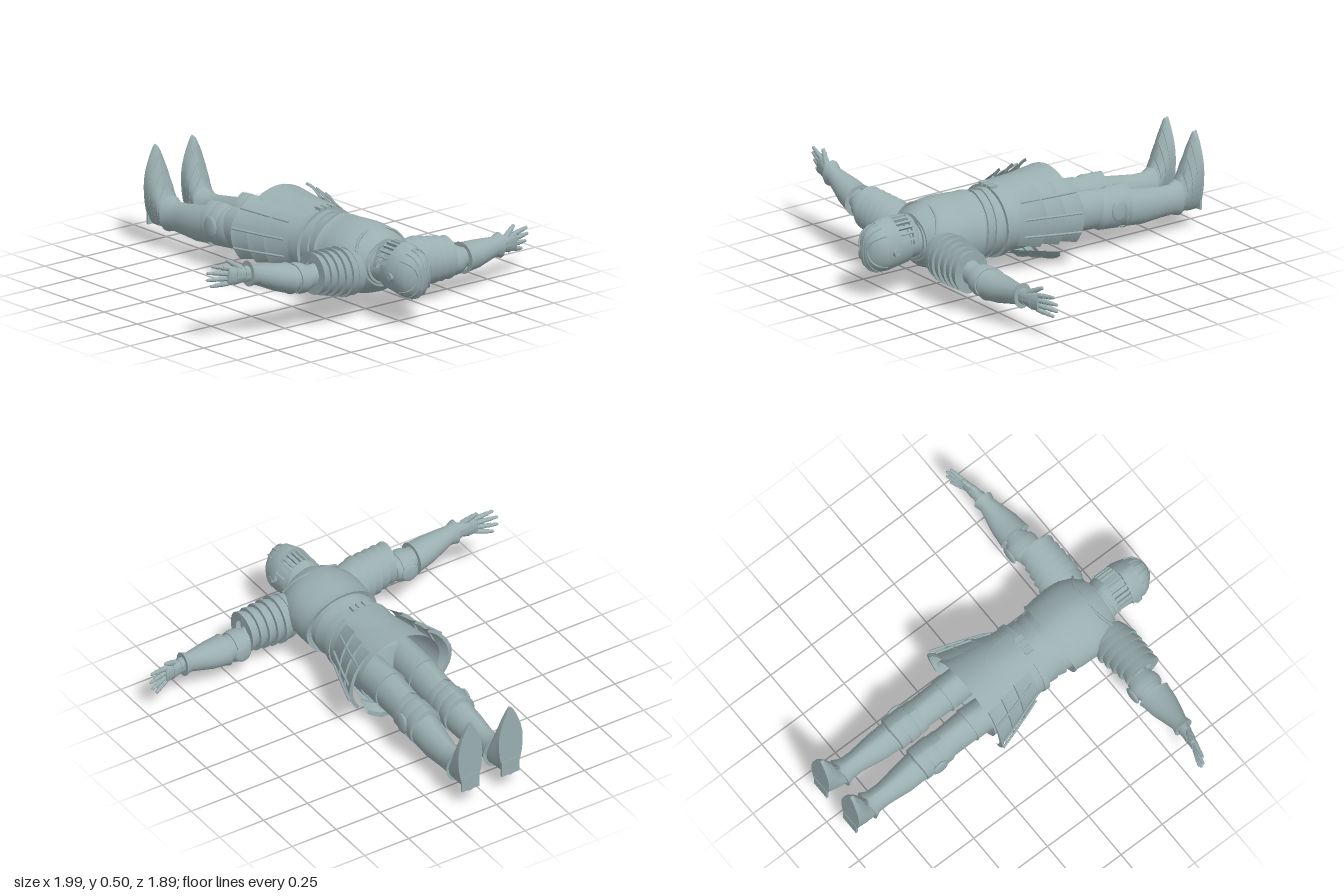
import * as THREE from 'three';
import { toCreasedNormals } from 'three/addons/utils/BufferGeometryUtils.js';

const steel = new THREE.MeshStandardMaterial({ color: 0x9aaeb0, side: THREE.DoubleSide });
steel.name = 'steel';

const rad = THREE.MathUtils.degToRad;

function add(parent, name, geometry) {
  const mesh = new THREE.Mesh(geometry, steel);
  mesh.name = name;
  parent.add(mesh);
  return mesh;
}

// Loft through elliptical rings [t, centreU, centreY, radiusU, radiusY, chevron, halfSpan].
// axis 'z': U is x. axis 'x': U is z. mid/half pick an arc of the ring, in degrees.
function loft(parent, name, rings, { axis = 'z', mid = 90, half = 180, ridge = 0, pinch = 0, seg = 32, crease = 0.6 } = {}) {
  if (rings[0][0] > rings[rings.length - 1][0]) rings = [...rings].reverse();
  const pos = [], index = [];
  for (const [t, cu, cy, ru, ry, vee = 0, span = half] of rings) {
    for (let j = 0; j <= seg; j++) {
      const d = (j / seg * 2 - 1) * span, a = rad(mid + d);
      const top = Math.max(0, Math.sin(a));
      const w = Math.max(0, 1 - Math.abs(d) / Math.min(span, 90));
      const u = ru * Math.cos(a) * (1 - pinch * top * top);
      const y = cy + ry * Math.sin(a) * (1 + ridge * Math.pow(top, 24));
      const tt = t + vee * w;
      pos.push(...(axis === 'z' ? [cu + u, y, tt] : [tt, y, cu - u]));
    }
  }
  const n = seg + 1;
  for (let i = 0; i < rings.length - 1; i++) {
    for (let j = 0; j < seg; j++) {
      const a = i * n + j, b = a + n;
      index.push(a, a + 1, b, a + 1, b + 1, b);
    }
  }
  const g = new THREE.BufferGeometry();
  g.setAttribute('position', new THREE.Float32BufferAttribute(pos, 3));
  g.setIndex(index);
  return add(parent, name, toCreasedNormals(g, crease));
}

function tube(parent, name, points, r) {
  const curve = new THREE.CatmullRomCurve3(points.map(p => new THREE.Vector3(...p)));
  return add(parent, name, new THREE.TubeGeometry(curve, 24, r, 6));
}

function buildTorso(g) {
  // waist lames and breastplate with pointed lower edges
  loft(g, 'waistPlates', [
    [0.16, 0, 0.255, 0.17, 0.165], [0.21, 0, 0.255, 0.17, 0.165], [0.27, 0, 0.25, 0.172, 0.17, -0.03],
    [0.27, 0, 0.25, 0.163, 0.162, -0.03], [0.32, 0, 0.25, 0.175, 0.172, -0.03],
    [0.32, 0, 0.25, 0.165, 0.162, -0.03], [0.40, 0, 0.25, 0.175, 0.17]], { ridge: 0.03 });
  loft(g, 'breastplate', [
    [0.36, 0, 0.25, 0.17, 0.16, -0.04], [0.355, 0, 0.25, 0.2, 0.175, -0.04], [0.37, 0, 0.25, 0.196, 0.173, -0.04],
    [0.40, 0, 0.252, 0.2, 0.175, -0.02], [0.48, 0, 0.258, 0.205, 0.175], [0.55, 0, 0.26, 0.2, 0.166],
    [0.61, 0, 0.26, 0.175, 0.145], [0.65, 0, 0.265, 0.13, 0.115], [0.66, 0, 0.265, 0, 0]], { ridge: 0.05 });
  // raised neck border on the chest
  tube(g, 'chestBorder', [[-0.16, 0.32, 0.62], [-0.11, 0.39, 0.585], [0, 0.42, 0.565], [0.11, 0.39, 0.585], [0.16, 0.32, 0.62]], 0.007);
  loft(g, 'gorget', [
    [0.60, 0, 0.26, 0.15, 0.135], [0.63, 0, 0.265, 0.14, 0.12, -0.02], [0.63, 0, 0.265, 0.128, 0.112, -0.02],
    [0.66, 0, 0.265, 0.118, 0.1, -0.01], [0.66, 0, 0.265, 0.105, 0.09, -0.01],
    [0.71, 0, 0.265, 0.09, 0.09], [0.71, 0, 0.265, 0, 0]]);
  // belt and buckle
  loft(g, 'belt', [
    [0.18, 0, 0.255, 0.165, 0.16], [0.18, 0, 0.255, 0.188, 0.18], [0.21, 0, 0.255, 0.188, 0.18], [0.21, 0, 0.255, 0.165, 0.16]]);
  for (const x of [-0.035, 0, 0.035])
    add(g, 'buckle', new THREE.BoxGeometry(0.026, 0.014, 0.045)).position.set(x, 0.436, 0.195);
}

function buildSkirt(g) {
  loft(g, 'skirt', [
    [0.19, 0, 0.255, 0.18, 0.172], [0.1, 0, 0.26, 0.19, 0.175], [0.0, 0, 0.268, 0.205, 0.178],
    [-0.155, 0, 0.28, 0.225, 0.18]], { half: 140, ridge: 0.02 });
  // arched plate below the buckle
  loft(g, 'frontTab', [0, 1, 2, 3, 4, 5, 6].map(i => {
    const k = i / 6;
    return [0.18 - k * 0.2, 0, 0.259 + k * 0.006, 0.2, 0.179 + k * 0.006, 0, 30 * Math.sqrt(1 - k * k) + 0.01];
  }), { seg: 14, ridge: 0.02 });
  // side tassets: three overlapping lames and a raised rib on each
  for (const s of [1, -1]) {
    const mid = s > 0 ? 10 : 170;
    for (let i = 0; i < 3; i++) {
      const z = 0.14 - i * 0.09, r = 0.195 + i * 0.028;
      loft(g, 'sideTasset', [
        [z, 0, 0.26, r - 0.008, 0.19, 0, 42], [z - 0.09, 0, 0.262, r + 0.026, 0.215, -0.015, 44],
        [z - 0.11, 0, 0.264, r + 0.04, 0.222, -0.015, 44], [z - 0.11, 0, 0.264, r + 0.02, 0.21, -0.015, 44]], { mid, seg: 14 });
    }
    for (const a of [-26, 0, 26]) {
      const c = Math.cos(rad(10 + a)) * s, q = Math.sin(rad(10 + a));
      tube(g, 'tassetRib', [[0.2 * c, 0.26 + 0.195 * q, 0.12], [0.255 * c, 0.262 + 0.21 * q, -0.03], [0.295 * c, 0.264 + 0.222 * q, -0.15]], 0.006);
    }
    // rear tassets
    for (let i = 0; i < 3; i++) {
      const z = 0.14 - i * 0.075, r = 0.178 + i * 0.02;
      loft(g, 'rearTasset', [
        [z, 0, 0.26, r + 0.01, r - 0.004, 0, 19], [z - 0.085, 0, 0.26, r + 0.03, r + 0.022, -0.015, 20],
        [z - 0.105, 0, 0.26, r + 0.04, r + 0.042, -0.015, 17], [z - 0.105, 0, 0.26, r + 0.03, r + 0.015, -0.015, 17]],
        { mid: 270 + s * 21, seg: 12 });
    }
  }
  loft(g, 'hips', [[0.18, 0, 0.25, 0.16, 0.15], [0.05, 0, 0.24, 0.175, 0.13], [-0.04, 0, 0.23, 0.16, 0.11], [-0.08, 0, 0.23, 0, 0]]);
}

function buildHead(g) {
  loft(g, 'helmet', [
    [0.69, 0, 0.25, 0.08, 0.09], [0.70, 0, 0.25, 0.088, 0.095], [0.76, 0, 0.253, 0.092, 0.108],
    [0.82, 0, 0.257, 0.1, 0.12], [0.86, 0, 0.257, 0.1, 0.118], [0.89, 0, 0.26, 0.085, 0.108],
    [0.915, 0, 0.262, 0.06, 0.088], [0.93, 0, 0.265, 0.032, 0.06], [0.937, 0, 0.268, 0, 0]], { crease: 0.9 });
  // visor: jaw plate, brow brim and upright bars
  loft(g, 'jawPlate', [
    [0.665, 0, 0.26, 0.09, 0.11, -0.01], [0.68, 0, 0.26, 0.104, 0.122, -0.01], [0.705, 0, 0.26, 0.106, 0.128, -0.01],
    [0.705, 0, 0.26, 0.09, 0.11, -0.01]], { half: 84, ridge: 0.05 });
  loft(g, 'browBrim', [
    [0.775, 0, 0.26, 0.092, 0.11, 0.012], [0.775, 0, 0.26, 0.11, 0.137, 0.012], [0.80, 0, 0.26, 0.112, 0.137, 0.015],
    [0.84, 0, 0.258, 0.103, 0.123, 0.025]], { half: 88, ridge: 0.05 });
  for (let i = -5; i <= 5; i++) {
    const a = rad(90 + i * 14);
    const bar = add(g, 'visorBar', new THREE.BoxGeometry(0.012, 0.016, 0.09));
    bar.position.set(0.102 * Math.cos(a), 0.26 + 0.126 * Math.sin(a), 0.74);
    bar.rotation.z = a - Math.PI / 2;
  }
  for (const s of [1, -1]) {
    const pivot = add(g, 'visorPivot', new THREE.CylinderGeometry(0.018, 0.022, 0.016, 16));
    pivot.rotation.z = -s * Math.PI / 2;
    pivot.position.set(s * 0.105, 0.255, 0.81);
  }
  // crown ridges running from brow to nape
  for (const k of [-0.75, -0.4, 0, 0.4, 0.75]) {
    const c = Math.sqrt(1 - k * k);
    tube(g, 'crownRidge', [[k * 0.1, 0.257 + 0.12 * c, 0.845], [k * 0.085, 0.26 + 0.104 * c, 0.893], [k * 0.06, 0.262 + 0.07 * c, 0.92],
      [k * 0.04, 0.264, 0.931], [k * 0.06, 0.262 - 0.07 * c, 0.92], [k * 0.085, 0.26 - 0.104 * c, 0.893], [k * 0.1, 0.257 - 0.12 * c, 0.845]], k ? 0.005 : 0.008);
  }
}

function buildLeg(g) {
  loft(g, 'thigh', [
    [0.0, 0.1, 0.235, 0.08, 0.1], [-0.2, 0.095, 0.232, 0.083, 0.105], [-0.22, 0.095, 0.23, 0.086, 0.108, -0.015],
    [-0.22, 0.095, 0.23, 0.079, 0.1, -0.015], [-0.38, 0.097, 0.218, 0.075, 0.095]], { ridge: 0.05 });
  // knee lames
  for (const [z, r] of [[-0.37, 0.083], [-0.425, 0.088], [-0.48, 0.086]])
    loft(g, 'kneePlate', [
      [z + 0.02, 0.097, 0.21, r - 0.012, r], [z, 0.097, 0.21, r, r + 0.014, -0.015],
      [z - 0.045, 0.097, 0.205, r, r + 0.014, -0.02], [z - 0.05, 0.097, 0.205, r - 0.02, r - 0.008, -0.02]], { ridge: 0.08 });
  const wing = add(g, 'kneeWing', new THREE.SphereGeometry(1, 16, 10));
  wing.scale.set(0.014, 0.055, 0.045);
  wing.position.set(0.18, 0.215, -0.45);
  loft(g, 'greave', [
    [-0.50, 0.097, 0.195, 0.083, 0.1], [-0.515, 0.097, 0.195, 0.083, 0.1, -0.015], [-0.515, 0.097, 0.192, 0.076, 0.093, -0.015],
    [-0.62, 0.102, 0.178, 0.07, 0.088], [-0.74, 0.105, 0.172, 0.054, 0.075], [-0.8, 0.105, 0.172, 0.056, 0.073],
    [-0.835, 0.105, 0.176, 0.074, 0.088, -0.015], [-0.835, 0.105, 0.176, 0.05, 0.06, -0.015]], { ridge: 0.06 });
  // pointed shoe with stepped plates
  loft(g, 'shoe', [
    [-0.78, 0.105, 0.175, 0.05, 0.06], [-0.835, 0.107, 0.18, 0.058, 0.078], [-0.86, 0.109, 0.206, 0.062, 0.1],
    [-0.86, 0.109, 0.21, 0.064, 0.106], [-0.885, 0.111, 0.24, 0.065, 0.138], [-0.885, 0.111, 0.244, 0.067, 0.143],
    [-0.91, 0.113, 0.272, 0.067, 0.172], [-0.91, 0.113, 0.276, 0.068, 0.176], [-0.93, 0.115, 0.298, 0.068, 0.196],
    [-0.948, 0.115, 0.3, 0.068, 0.2], [-0.948, 0.115, 0.27, 0, 0]], { pinch: 0.55 });
  add(g, 'heel', new THREE.BoxGeometry(0.1, 0.085, 0.012)).position.set(0.113, 0.15, -0.944);
}

function buildArm(g, side) {
  // the right arm is raised a little
  const lift = x => (side < 0 ? 0.035 + 0.22 * (x - 0.2) : 0);
  const arm = (name, rings, opts) => loft(g, name, rings.map(([x, z, y, rz, ry, v]) => [x, z, y + lift(x), rz, ry, v]), { axis: 'x', ...opts });

  // overlapping shoulder lames
  for (let i = 0; i < 6; i++) {
    const x = 0.14 + i * 0.044, k = i / 5;
    const rz = 0.112 - 0.02 * k + (i === 0 ? -0.012 : 0), ry = 0.126 - 0.024 * k + (i === 0 ? -0.012 : 0);
    const z = 0.583 + 0.012 * k, y = 0.212 - 0.012 * k;
    arm('shoulderLame', [
      [x, z, y, rz - 0.01, ry - 0.01], [x + 0.035, z, y, rz + 0.003, ry + 0.003, 0.008],
      [x + 0.05, z, y, rz + 0.005, ry + 0.005, 0.008], [x + 0.05, z, y, rz - 0.04, ry - 0.04, 0.008]]);
  }
  arm('innerSleeve', [[0.2, 0.57, 0.2, 0.07, 0.08], [0.41, 0.57, 0.178, 0.052, 0.056], [0.56, 0.565, 0.165, 0.045, 0.048]]);
  // elbow guard with side wing
  arm('elbowGuard', [
    [0.415, 0.565, 0.175, 0.045, 0.045], [0.42, 0.565, 0.175, 0.066, 0.06], [0.445, 0.563, 0.17, 0.072, 0.067],
    [0.445, 0.563, 0.17, 0.078, 0.072], [0.475, 0.562, 0.167, 0.084, 0.077], [0.5, 0.562, 0.165, 0.078, 0.072],
    [0.5, 0.562, 0.165, 0.07, 0.066], [0.525, 0.563, 0.165, 0.062, 0.06], [0.53, 0.563, 0.165, 0.045, 0.045]]);
  const wing = add(g, 'elbowWing', new THREE.SphereGeometry(1, 16, 10));
  wing.scale.set(0.046, 0.045, 0.012);
  wing.position.set(0.475, 0.167 + lift(0.475), 0.484);
  // forearm plate with flared cuff
  arm('forearm', [
    [0.535, 0.565, 0.165, 0.06, 0.06], [0.535, 0.565, 0.165, 0.085, 0.078], [0.55, 0.565, 0.165, 0.08, 0.073],
    [0.62, 0.563, 0.168, 0.072, 0.068], [0.74, 0.558, 0.178, 0.042, 0.05], [0.775, 0.556, 0.18, 0.05, 0.064],
    [0.775, 0.556, 0.18, 0.03, 0.04]]);

  // hand
  const hand = new THREE.Group();
  hand.name = 'hand';
  hand.position.set(0.77, 0.18 + lift(0.77), 0.556);
  hand.rotation.set(0, 0.14, side < 0 ? 0.08 : -0.04);
  g.add(hand);
  loft(hand, 'palm', [
    [-0.02, 0, 0, 0.028, 0.038], [0.03, 0, 0, 0.03, 0.042], [0.03, 0, 0, 0.027, 0.038], [0.075, 0, -0.002, 0.025, 0.048],
    [0.075, 0, -0.002, 0.022, 0.045], [0.118, 0, -0.002, 0.018, 0.046], [0.125, 0, 0, 0, 0]], { axis: 'x' });
  const finger = (name, x, y, z, length, r, up, curl) => {
    const f = new THREE.Group();
    f.name = name;
    f.position.set(x, y, z);
    f.rotation.set(0, curl, up);
    loft(f, 'fingerPlates', [
      [0, 0, 0, r, r], [length * 0.4, 0, 0, r, r], [length * 0.4, 0, 0, r * 0.85, r * 0.85], [length * 0.7, 0, 0, r * 0.85, r * 0.85],
      [length * 0.7, 0, 0, r * 0.72, r * 0.72], [length * 0.94, 0, 0, r * 0.6, r * 0.6], [length, 0, 0, 0, 0]], { axis: 'x', seg: 10 });
    hand.add(f);
  };
  [0.095, 0.118, 0.122, 0.105].forEach((l, i) =>
    finger('finger', 0.108, -0.038 + i * 0.024, 0, l, 0.0125, -0.2 + i * 0.12, 0.28 - i * 0.07));
  finger('thumb', 0.045, 0.03, 0.005, 0.095, 0.0145, 0.5, 0.25);
}

export function createModel() {
  const model = new THREE.Group();
  model.name = 'recliningArmour';
  const part = (name, build, ...args) => {
    const g = new THREE.Group();
    g.name = name;
    build(g, ...args);
    model.add(g);
    return g;
  };
  part('torso', buildTorso);
  part('skirtArmour', buildSkirt);
  part('head', buildHead);
  for (const side of [1, -1]) {
    part(side > 0 ? 'leftLeg' : 'rightLeg', buildLeg).scale.x = side;
    part(side > 0 ? 'leftArm' : 'rightArm', buildArm, side).scale.x = side;
  }
  return model;
}
